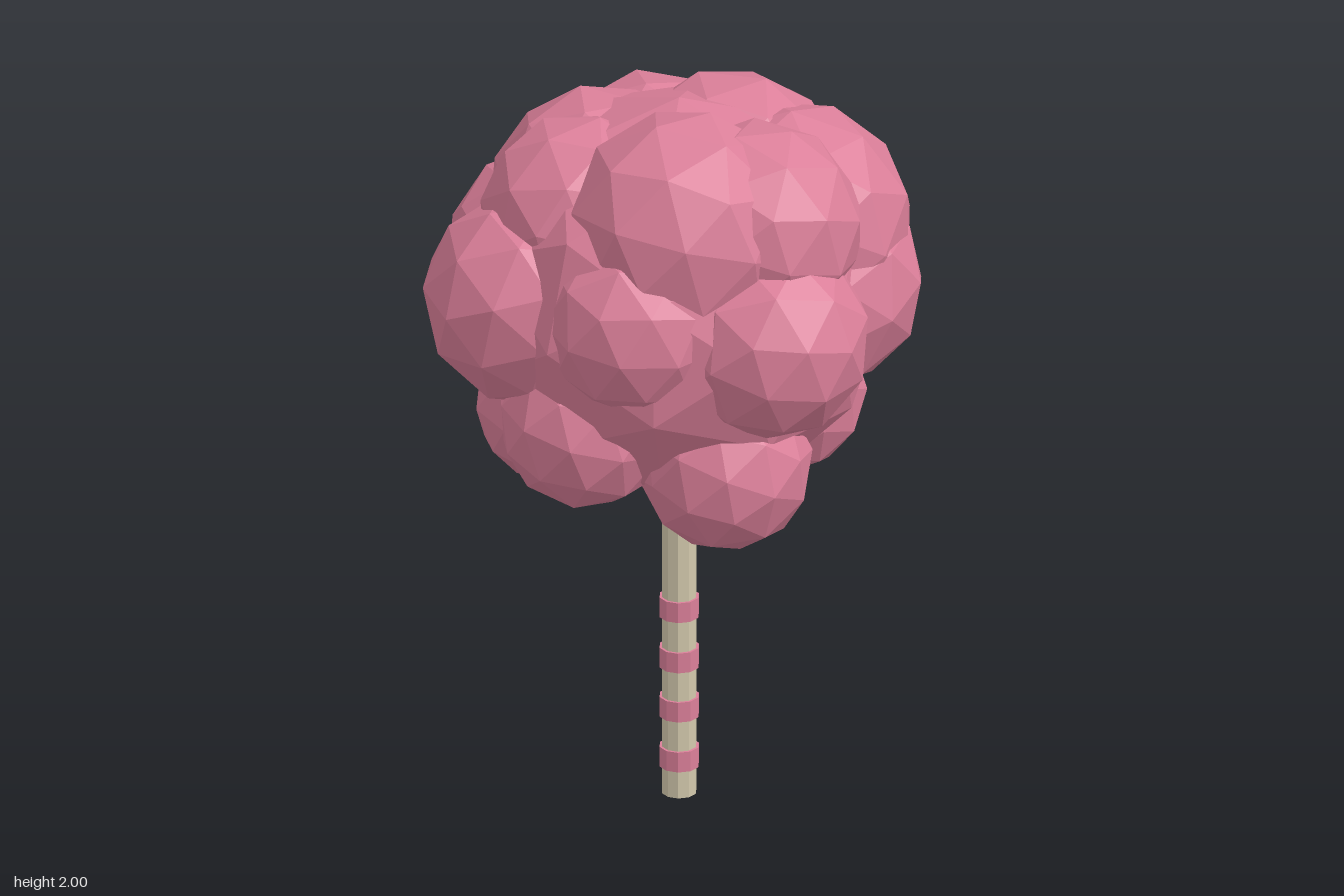
import * as THREE from 'three';

const pink = new THREE.MeshStandardMaterial({ color: 0xdb7f99, flatShading: true });
pink.name = 'blossom pink';
const beige = new THREE.MeshStandardMaterial({ color: 0xd2c8ac, flatShading: true });
beige.name = 'bark beige';

// Small seeded generator for the turn of each clump
function seeded(seed) {
  return () => (seed = (seed * 16807) % 2147483647) / 2147483647;
}

// [x, y, z, radius] of each foliage clump
const lowerClumps = [
  [-0.05, 1.15, 0.32, 0.23],
  [0.26, 1.05, 0.13, 0.23],
  [-0.29, 1.08, 0.15, 0.215],
  [0.16, 1.11, -0.23, 0.22],
  [-0.22, 1.22, -0.22, 0.24],
];
const middleClumps = [
  [-0.24, 1.45, 0.32, 0.285],
  [0.12, 1.48, 0.32, 0.25],
  [0.385, 1.43, 0.1, 0.265],
  [-0.38, 1.46, 0.06, 0.275],
  [0.27, 1.45, -0.23, 0.285],
  [-0.25, 1.56, -0.21, 0.325],
  [0, 1.51, -0.3, 0.3],
];
const upperClumps = [
  [0.14, 1.69, 0.15, 0.317],
  [-0.17, 1.66, 0.19, 0.27],
  [-0.24, 1.63, 0.02, 0.3],
  [0.27, 1.69, 0.01, 0.28],
  [0, 1.65, -0.21, 0.31],
  [0.2, 1.6, -0.22, 0.32],
];

export function createModel() {
  const tree = new THREE.Group();
  tree.name = 'tree';

  const add = (parent, name, geometry, material, x, y, z) => {
    const mesh = new THREE.Mesh(geometry, material);
    mesh.name = name;
    mesh.position.set(x, y, z);
    parent.add(mesh);
    return mesh;
  };

  // Trunk with four raised bands
  add(tree, 'trunk', new THREE.CylinderGeometry(0.046, 0.046, 1.1, 10), beige, 0, 0.55, 0);
  for (const y of [0.105, 0.247, 0.387, 0.53]) {
    add(tree, 'trunkBand', new THREE.CylinderGeometry(0.053, 0.053, 0.056, 10), pink, 0, y, 0);
  }

  // Crown: faceted core surrounded by overlapping clumps
  const crown = new THREE.Group();
  crown.name = 'crown';
  tree.add(crown);
  add(crown, 'crownCore', new THREE.IcosahedronGeometry(0.545, 1), pink, 0, 1.43, 0);
  const random = seeded(4711);
  const rows = { lowerClump: lowerClumps, middleClump: middleClumps, upperClump: upperClumps };
  for (const [name, clumps] of Object.entries(rows)) {
    for (const [x, y, z, r] of clumps) {
      const clump = add(crown, name, new THREE.IcosahedronGeometry(r, 1), pink, x, y, z);
      clump.rotation.set(random() * 6.28, random() * 6.28, random() * 6.28);
    }
  }
  return tree;
}
